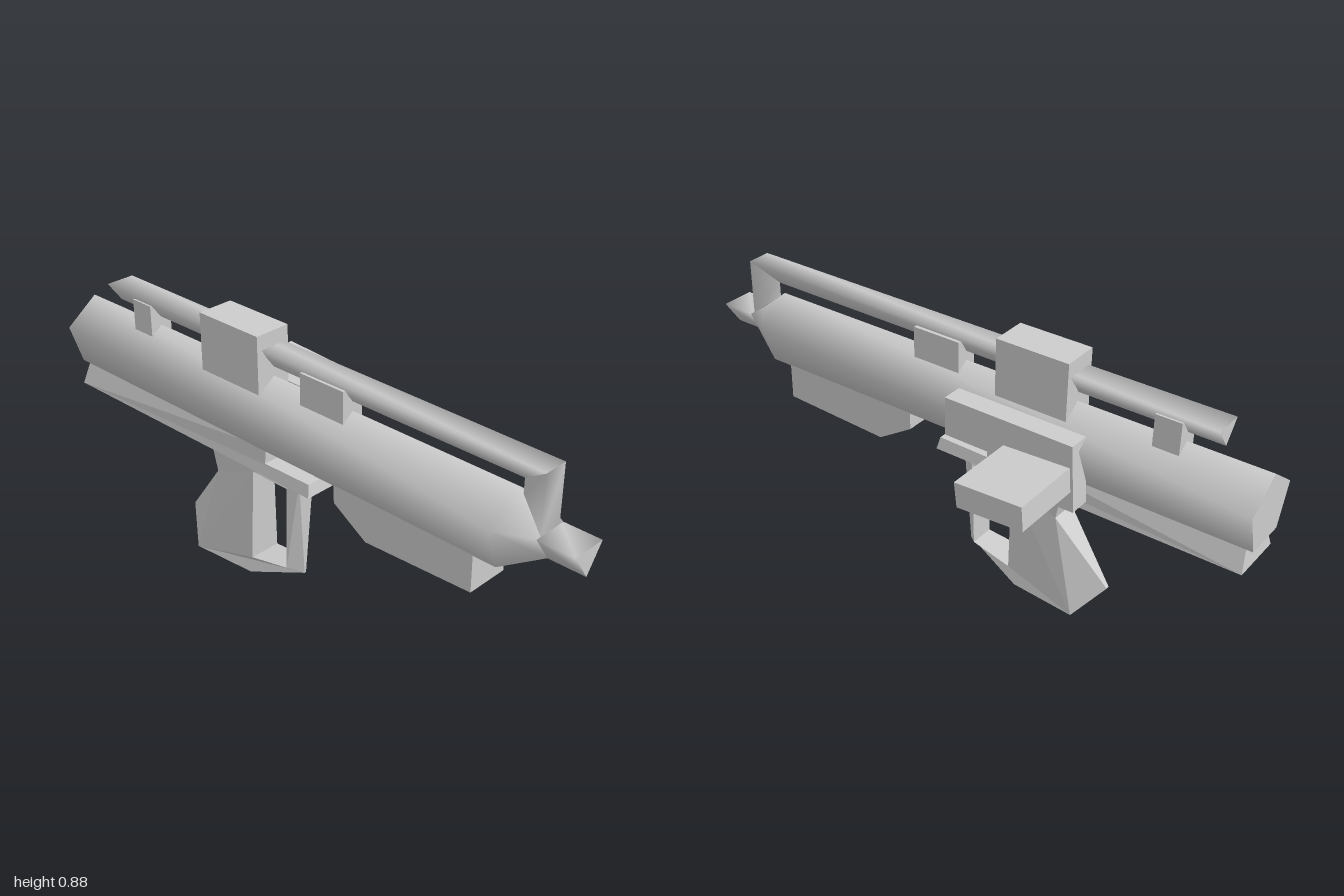
import * as THREE from 'three';

const CX = -0.137; // centre line of the barrel

export function createModel() {
  const model = new THREE.Group();
  const material = new THREE.MeshStandardMaterial({ color: 0xcccccc });

  function add(name, geometry) {
    const mesh = new THREE.Mesh(geometry, material);
    mesh.name = name;
    model.add(mesh);
  }

  // Flat-sided part: side outline of [z, y, halfWidth] corners, mirrored about x = cx
  function prism(name, cx, outline, width, hole = []) {
    const toPoint = ([z, y]) => new THREE.Vector2(-z, y);
    const shape = new THREE.Shape(outline.map(toPoint));
    if (hole.length) shape.holes.push(new THREE.Path(hole.map(toPoint)));
    const geo = new THREE.ExtrudeGeometry(shape, { depth: 2, bevelEnabled: false });
    geo.translate(0, 0, -1).rotateY(Math.PI / 2);
    const pos = geo.attributes.position;
    const corners = [...outline, ...hole];
    for (let i = 0; i < pos.count; i++) {
      const z = pos.getZ(i), y = pos.getY(i);
      const corner = corners.find(c => Math.hypot(c[0] - z, c[1] - y) < 1e-4);
      pos.setX(i, cx + Math.sign(pos.getX(i)) * (corner?.[2] ?? width));
    }
    geo.computeVertexNormals();
    add(name, geo);
  }

  const block = (name, cx, halfWidth, z0, z1, y0, y1) =>
    prism(name, cx, [[z0, y0], [z1, y0], [z1, y1], [z0, y1]], halfWidth);

  // Smooth-sided skin through rings of [x, y, z] points, with flat end caps
  function loft(name, rings) {
    const n = rings[0].length, last = rings.length - 1;
    const pos = rings.flat(2), index = [];
    for (let i = 0; i < last; i++) {
      for (let j = 0; j < n; j++) {
        const a = i * n + j, b = i * n + (j + 1) % n;
        index.push(a, b, b + n, a, b + n, a + n);
      }
    }
    const back = (last + 1) * n, front = back + n;
    pos.push(...rings[0].flat(), ...rings[last].flat());
    for (let j = 1; j < n - 1; j++) {
      index.push(back, back + j + 1, back + j, front, front + j, front + j + 1);
    }
    const geo = new THREE.BufferGeometry();
    geo.setAttribute('position', new THREE.Float32BufferAttribute(pos, 3));
    geo.setIndex(index);
    geo.computeVertexNormals();
    add(name, geo);
  }

  // Five-sided barrel that tapers into the three-sided muzzle
  const pentagon = z => [90, 162, 234, 306, 18].map(deg => {
    const a = THREE.MathUtils.degToRad(deg);
    return [CX + 0.121 * Math.cos(a), 0.612 + 0.121 * Math.sin(a), z];
  });
  const left = CX - 0.058, right = CX + 0.058;
  loft('barrel', [
    pentagon(-1),
    pentagon(0.77),
    [[CX, 0.645, 0.88], [left, 0.645, 0.88], [CX, 0.56, 0.88], [CX, 0.56, 0.88], [right, 0.645, 0.88]],
  ]);
  loft('muzzle', [0.87, 1].map(z => [[right, 0.645, z], [left, 0.645, z], [CX, 0.56, z]]));

  // Three-sided top rail, mitred into the front post
  const rail = (w, y, z, ridgeY, ridgeZ) => [[CX + w, y, z], [CX - w, y, z], [CX, ridgeY, ridgeZ]];
  const mitre = rail(0.041, 0.832, 0.88, 0.765, 0.79);
  loft('topRail', [rail(0.05, 0.83, -0.85, 0.762, -0.85), mitre]);
  loft('frontPost', [mitre, rail(0.041, 0.645, 0.88, 0.715, 0.79)]);

  // Sight box and rail mounts
  block('sightBox', CX - 0.002, 0.062, -0.38, -0.13, 0.69, 0.88);
  block('frontMount', CX, 0.04, 0.02, 0.19, 0.69, 0.808);
  block('rearMount', CX, 0.04, -0.735, -0.65, 0.69, 0.808);

  // Receiver plate and magazine on the left side
  prism('receiverPlate', -0.025, [
    [-0.01, 0.68], [-0.46, 0.68], [-0.475, 0.46], [-0.21, 0.453], [-0.2, 0.55], [-0.01, 0.55],
  ], 0.035);
  prism('magazine', 0.13, [
    [-0.225, 0.595], [-0.455, 0.607], [-0.462, 0.527], [-0.235, 0.513],
  ], 0.121);

  // Under-barrel parts
  prism('foregrip', CX, [
    [0.695, 0.53], [0.695, 0.395], [0.31, 0.378], [0.185, 0.457], [0.185, 0.53],
  ], 0.072);
  prism('lowerRail', CX, [
    [0.08, 0.425, 0.072], [0.072, 0.465, 0.062], [-0.11, 0.465, 0.066],
    [-0.11, 0.517, 0.06], [-0.975, 0.517, 0.06], [-0.985, 0.44, 0.09],
  ], 0.07);

  // Grip and trigger guard in one piece, pinched at front and back
  prism('grip', CX, [
    [0, 0.43, 0.03], [-0.01, 0.078, 0.003], [-0.215, 0.005, 0.047], [-0.445, 0.01, 0.072],
    [-0.53, 0.115, 0.006], [-0.355, 0.33, 0.045], [-0.375, 0.435, 0.05],
  ], 0.045, [
    [-0.04, 0.395, 0.045], [-0.19, 0.395, 0.045], [-0.195, 0.075, 0.055], [-0.05, 0.098, 0.043],
  ]);

  return model;
}
